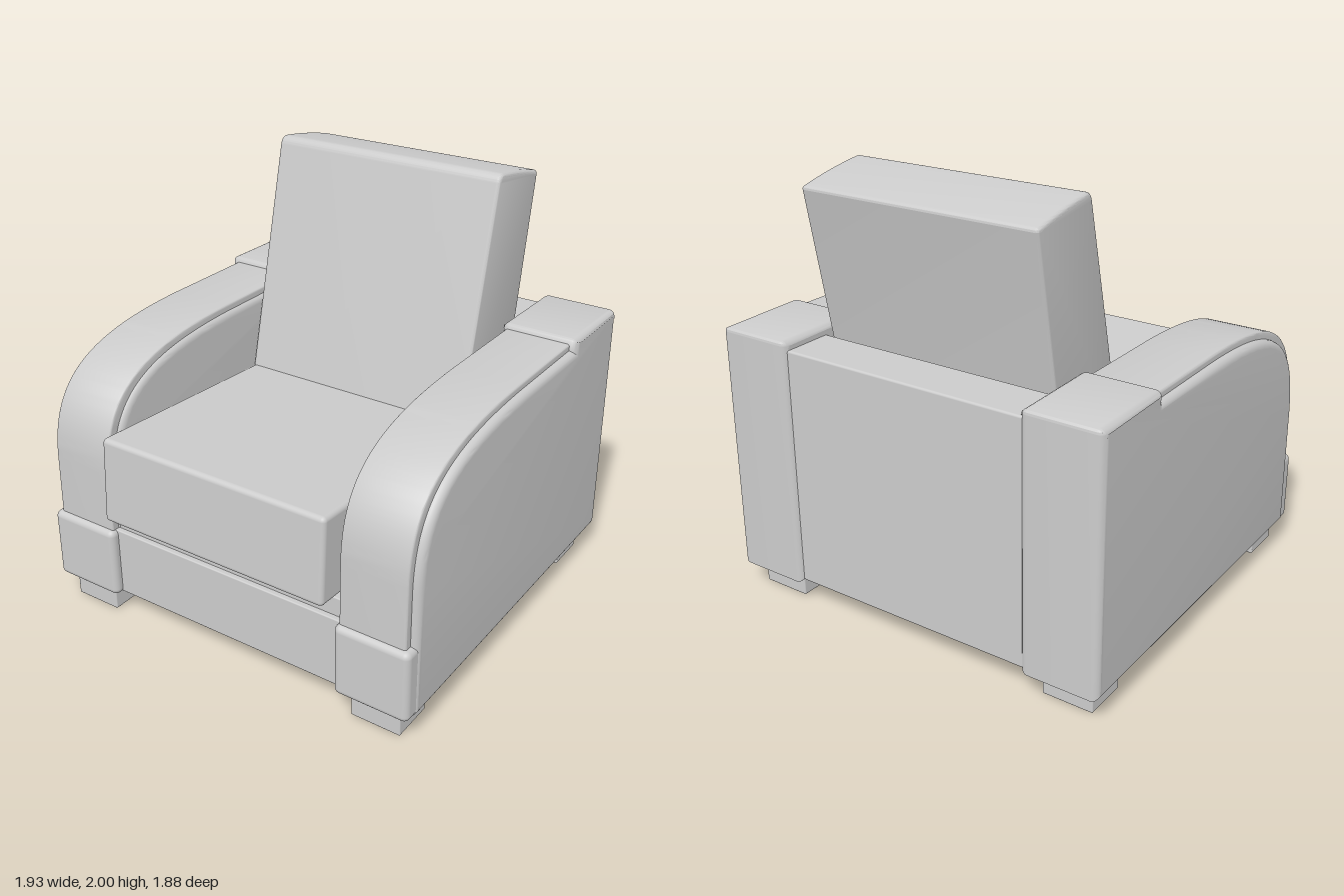
import * as THREE from 'three';
import { RoundedBoxGeometry } from 'three/addons/geometries/RoundedBoxGeometry.js';
import { toCreasedNormals } from 'three/addons/utils/BufferGeometryUtils.js';

const material = new THREE.MeshStandardMaterial({ color: 0xcccccc });

function add(parent, name, geometry, x = 0, y = 0, z = 0) {
  const mesh = new THREE.Mesh(geometry, material);
  mesh.name = name;
  mesh.position.set(x, y, z);
  parent.add(mesh);
  return mesh;
}

// Extrudes a side profile drawn in (z, y) across x0..x1 with rounded edges.
function sideExtrude(shape, x0, x1, bevel) {
  const g = new THREE.ExtrudeGeometry(shape, {
    depth: x1 - x0 - 2 * bevel,
    bevelThickness: bevel, bevelSize: bevel, bevelOffset: -bevel,
    bevelSegments: 5, curveSegments: 32,
  });
  g.translate(0, 0, bevel);
  g.rotateY(-Math.PI / 2); // profile axis -> +z, depth -> -x
  g.translate(x1, 0, 0);
  return toCreasedNormals(g, 0.6);
}

// Box from x/y/z ranges.
function box(parent, name, [x0, x1], [y0, y1], [z0, z1], radius) {
  const g = new RoundedBoxGeometry(x1 - x0, y1 - y0, z1 - z0, 4, radius);
  return add(parent, name, g, (x0 + x1) / 2, (y0 + y1) / 2, (z0 + z1) / 2);
}

// Arm body: curved front, flat top, raised block at the back.
function armBody() {
  const s = new THREE.Shape();
  s.moveTo(-0.94, 0.12);
  s.lineTo(0.84, 0.12);
  s.lineTo(0.835, 0.72);
  s.bezierCurveTo(0.825, 1.11, 0.6, 1.23, 0, 1.24);
  s.lineTo(-0.49, 1.24);
  s.lineTo(-0.495, 1.285);
  s.quadraticCurveTo(-0.5, 1.295, -0.52, 1.295);
  s.lineTo(-0.92, 1.29);
  s.quadraticCurveTo(-0.94, 1.29, -0.94, 1.27);
  s.closePath();
  return sideExtrude(s, 0.595, 0.967, 0.035);
}

// Padded strip that follows the arm from the front cap to the back block.
function armPad() {
  const s = new THREE.Shape();
  s.moveTo(0.76, 0.44);
  s.lineTo(0.872, 0.44);
  s.lineTo(0.868, 0.75);
  s.bezierCurveTo(0.86, 1.14, 0.62, 1.262, 0, 1.27);
  s.lineTo(-0.52, 1.27);
  s.lineTo(-0.52, 1.17);
  s.lineTo(0, 1.17);
  s.bezierCurveTo(0.55, 1.16, 0.75, 1.05, 0.76, 0.72);
  s.closePath();
  return sideExtrude(s, 0.615, 0.932, 0.012);
}

function backCushion() {
  const s = new THREE.Shape();
  s.moveTo(-0.58, 0.8);
  s.lineTo(-0.13, 0.8);
  s.lineTo(-0.41, 1.965);
  s.quadraticCurveTo(-0.42, 2.002, -0.455, 2);
  s.quadraticCurveTo(-0.62, 1.98, -0.78, 1.937);
  s.quadraticCurveTo(-0.795, 1.93, -0.79, 1.915);
  s.closePath();
  return sideExtrude(s, -0.583, 0.583, 0.018);
}

export function createModel() {
  const model = new THREE.Group();
  model.name = 'armchair';

  // Arms with caps and feet, mirrored left and right
  const body = armBody(), pad = armPad();
  for (const side of [1, -1]) {
    const arm = new THREE.Group();
    arm.name = side > 0 ? 'leftArm' : 'rightArm';
    model.add(arm);
    const mid = 0.781 * (1 - side); // the arm is symmetric, so shifting it mirrors it
    add(arm, 'armBody', body, -mid);
    add(arm, 'armPad', pad, side > 0 ? 0 : -1.547);

    const span = (a, b) => (side > 0 ? [a, b] : [-b, -a]);
    // Front cap, bowed forward in the middle
    const cap = box(arm, 'frontCap', span(0.6, 0.96), [0.12, 0.465], [0.6, 0.885], 0.03);
    const p = cap.geometry.attributes.position;
    for (let i = 0; i < p.count; i++) {
      if (p.getZ(i) > 0.1) p.setZ(i, p.getZ(i) + 0.012);
    }
    box(arm, 'frontFoot', span(0.66, 0.9), [0, 0.14], [0.64, 0.845], 0.006);
    box(arm, 'backFoot', span(0.66, 0.9), [0, 0.14], [-0.865, -0.66], 0.006);
  }

  // Base between the arms
  box(model, 'seatBase', [-0.62, 0.62], [0.13, 0.462], [-0.9, 0.855], 0.006);
  box(model, 'seatDeck', [-0.61, 0.61], [0.44, 0.55], [-0.7, 0.83], 0.006);
  box(model, 'backPanel', [-0.62, 0.62], [0.13, 1.25], [-0.922, -0.68], 0.01);

  // Cushions
  const seat = box(model, 'seatCushion', [-0.583, 0.583], [0.525, 0.93], [-0.5, 0.935], 0.022);
  seat.rotation.x = -0.06;
  add(model, 'backCushion', backCushion());

  return model;
}
